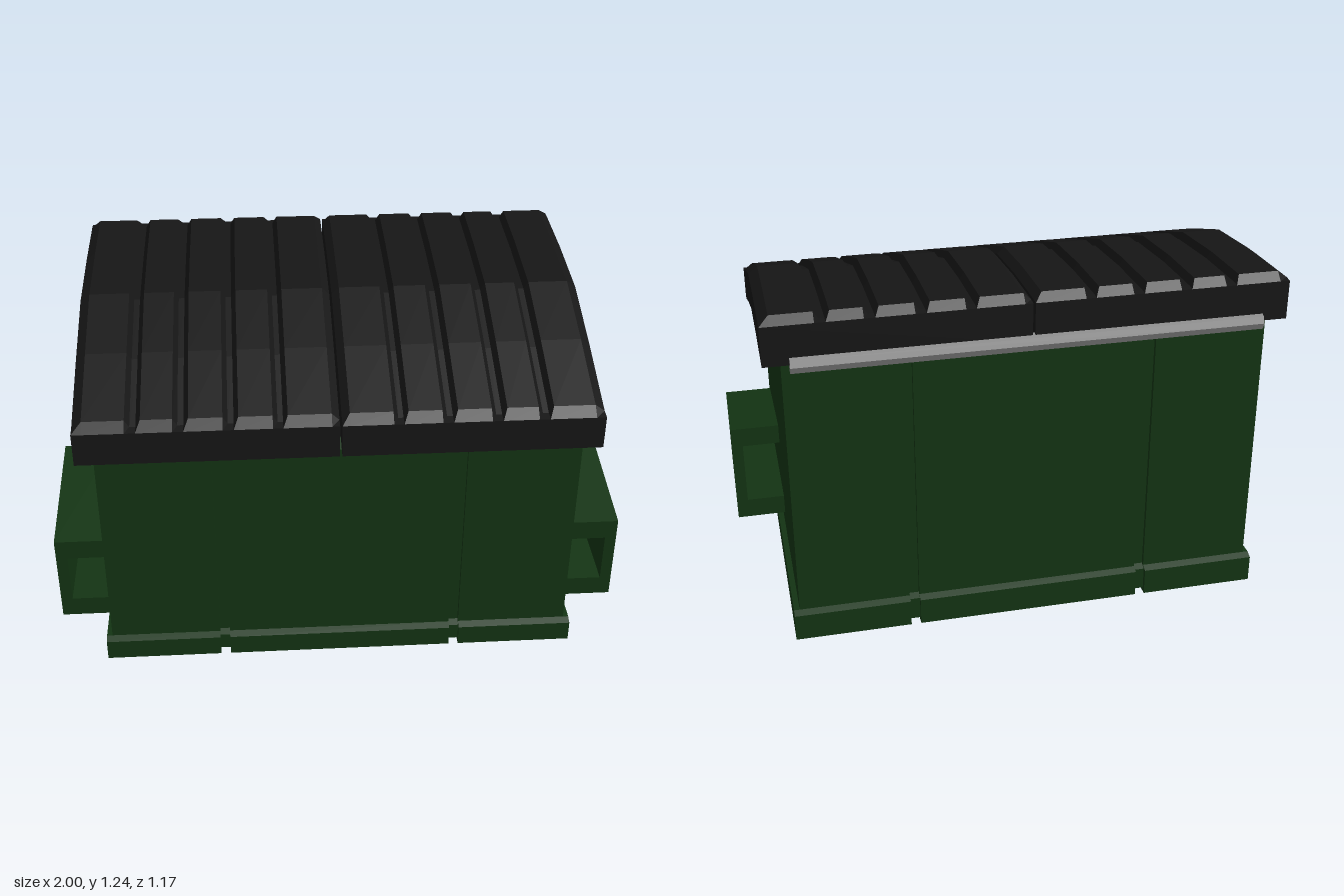
import * as THREE from 'three';

const paint = (color) => new THREE.MeshStandardMaterial({ color, flatShading: true });

// Side profile given as [z, y] points, extruded from x0 to x1
function slab(name, profile, x0, x1, material) {
  const shape = new THREE.Shape(profile.map(([z, y]) => new THREE.Vector2(-z, y)));
  const geo = new THREE.ExtrudeGeometry(shape, { depth: x1 - x0, bevelEnabled: false });
  geo.rotateY(Math.PI / 2).translate(x0, 0, 0);
  const mesh = new THREE.Mesh(geo, material);
  mesh.name = name;
  return mesh;
}

// Closed solid through counter-clockwise [x, y] rings, ordered back to front; side -1 mirrors it
function loft(name, sections, side, material) {
  const rings = sections.map(({ z, ring }) => {
    const points = ring.map(([x, y]) => new THREE.Vector3(x * side, y, z));
    return side < 0 ? points.reverse() : points;
  });
  const n = rings[0].length, last = rings.length - 1, pos = [];
  const tri = (...points) => points.forEach((p) => pos.push(p.x, p.y, p.z));
  for (let s = 0; s < last; s++) {
    for (let i = 0; i < n; i++) {
      const j = (i + 1) % n, a = rings[s], b = rings[s + 1];
      tri(a[i], a[j], b[j]);
      tri(a[i], b[j], b[i]);
    }
  }
  const cap = (r) => THREE.ShapeUtils.triangulateShape(r.map((p) => new THREE.Vector2(p.x, p.y)), []);
  cap(rings[last]).forEach(([a, b, c]) => tri(rings[last][a], rings[last][b], rings[last][c]));
  cap(rings[0]).forEach(([a, b, c]) => tri(rings[0][a], rings[0][c], rings[0][b]));
  const geo = new THREE.BufferGeometry();
  geo.setAttribute('position', new THREE.Float32BufferAttribute(pos, 3));
  geo.computeVertexNormals();
  const mesh = new THREE.Mesh(geo, material);
  mesh.name = name;
  return mesh;
}

// Profiles of the bin wall and base skirt; the inset makes the recessed strips
const wallProfile = (d) => [
  [0.55 - d, 0.06], [0.55 - d, 0.855], [0.28, 0.955], [0.01, 1.04],
  [-0.27, 1.065], [-0.525 + d, 1.075], [-0.525 + d, 0.06],
];
const skirtProfile = (d) => [
  [0.575 - d, d], [0.575 - d, 0.075], [0.55 - d, 0.085],
  [-0.525 + d, 0.108], [-0.55 + d, 0.098], [-0.55 + d, d],
];

// Lid stations from back to front: z, underside, top of grooves, rib height
const lidStations = [
  [-0.56, 1.07, 1.208, 0], [-0.53, 1.069, 1.21, 0.025], [-0.27, 1.06, 1.196, 0.025],
  [0.01, 1.035, 1.166, 0.025], [0.28, 0.95, 1.075, 0.025], [0.55, 0.852, 0.972, 0.025],
  [0.585, 0.85, 0.968, 0],
];
// Flat crests of the ribs on one lid half
const ribs = [[0.03, 0.175], [0.225, 0.338], [0.39, 0.503], [0.555, 0.66], [0.712, 0.852]];

function lidRing(bottom, top, rise) {
  const inner = 0.004, outer = 0.885, ring = [[inner, bottom], [outer, bottom], [outer, top]];
  for (let i = ribs.length - 1; i >= 0; i--) {
    const [a, b] = ribs[i];
    if (i < ribs.length - 1) ring.push([b + 0.016, top]);
    ring.push([b, top + rise], [a, top + rise]);
    if (i > 0) ring.push([a - 0.016, top]);
  }
  ring.push([inner, top]);
  return ring;
}

// C-shaped section of a fork pocket, open towards the bin
const pocketRing = (y0, y1) => [
  [0.82, y0], [1, y0], [1, y1], [0.82, y1],
  [0.82, y1 - 0.072], [0.96, y1 - 0.072], [0.96, y0 + 0.072], [0.82, y0 + 0.072],
];

export function createModel() {
  const green = paint(0x133413), black = paint(0x161616), grey = paint(0x888888);
  const model = new THREE.Group();
  model.name = 'wasteContainer';
  const body = new THREE.Group();
  body.name = 'body';
  model.add(body);

  // Three wall and skirt panels
  for (const [x0, x1, end0, end1] of [
    [-0.825, -0.435, -0.845, -0.435], [-0.4, 0.4, -0.4, 0.4], [0.435, 0.825, 0.435, 0.845],
  ]) {
    body.add(slab('wallPanel', wallProfile(0), x0, x1, green));
    body.add(slab('baseSkirt', skirtProfile(0), end0, end1, green));
  }
  // Recessed strips between the panels
  for (const x of [-0.435, 0.4]) {
    body.add(slab('wallGroove', wallProfile(0.015), x, x + 0.035, green));
    body.add(slab('skirtGroove', skirtProfile(0.015), x, x + 0.035, green));
  }

  // Mirrored fork pockets and ribbed lid halves
  for (const [side, label] of [[1, 'left'], [-1, 'right']]) {
    model.add(loft(label + 'ForkPocket', [
      { z: 0.01, ring: pocketRing(0.185, 0.56) },
      { z: 0.5, ring: pocketRing(0.15, 0.475) },
    ], side, green));
    model.add(loft(label + 'Lid', lidStations.map(([z, ...heights]) => (
      { z, ring: lidRing(...heights) })), side, black));
  }

  // Hinge rod along the back
  const rod = new THREE.Mesh(new THREE.CylinderGeometry(0.032, 0.032, 1.595, 8), grey);
  rod.name = 'hingeRod';
  rod.rotation.z = Math.PI / 2;
  rod.position.set(0, 1.068, -0.55);
  model.add(rod);
  return model;
}
